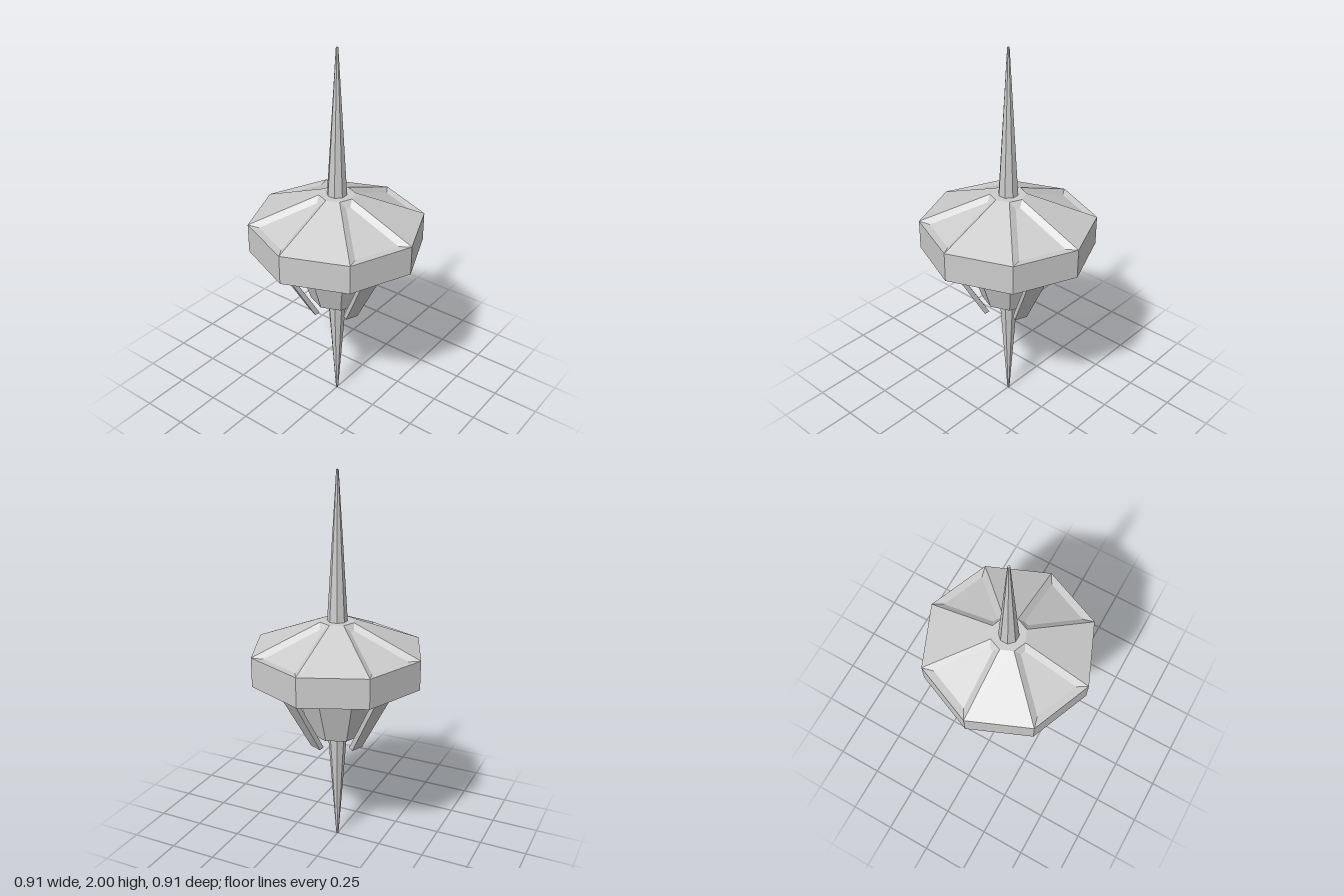
import * as THREE from 'three';

const SIDES = 8;
const STEP = (Math.PI * 2) / SIDES;
const material = new THREE.MeshStandardMaterial({ color: 0xcccccc, flatShading: true });

// Eight-sided tapered ring or solid between two heights
function frustum(name, rTop, yTop, rBottom, yBottom, open, turn = 0) {
  const g = new THREE.CylinderGeometry(rTop, rBottom, yTop - yBottom, SIDES, 1, open);
  g.rotateY(turn);
  g.translate(0, (yTop + yBottom) / 2, 0);
  const mesh = new THREE.Mesh(g, material);
  mesh.name = name;
  return mesh;
}

// Mesh from quads, each listed counter-clockwise
function quadMesh(name, quads) {
  const pos = [];
  for (const [a, b, c, d] of quads) pos.push(...a, ...b, ...c, ...a, ...c, ...d);
  const g = new THREE.BufferGeometry();
  g.setAttribute('position', new THREE.Float32BufferAttribute(pos, 3));
  g.computeVertexNormals();
  const mesh = new THREE.Mesh(g, material);
  mesh.name = name;
  return mesh;
}

// Trapezoid symmetric in x: outer edge then inner edge, z pointing outward
const trapezoid = (wOut, yOut, zOut, wIn, yIn, zIn) => [
  [-wOut, yOut, zOut], [wOut, yOut, zOut], [wIn, yIn, zIn], [-wIn, yIn, zIn],
];

// Quads joining two matching four-cornered loops
const bridge = (a, b) => a.map((p, i) => {
  const j = (i + 1) % 4;
  return [p, a[j], b[j], b[i]];
});

const RIM = 0.453, HUB = 0.092, RIM_TOP = 1.105, ROOF_TOP = 1.25;

function roofPanel(recessed) {
  const c = Math.cos(STEP / 2), s = Math.sin(STEP / 2);
  const edge = trapezoid(RIM * s, RIM_TOP, RIM * c, HUB * s, ROOF_TOP, HUB * c);
  if (!recessed) return quadMesh('roofPanel', [edge]);
  const floor = trapezoid(0.123, 1.1025, 0.38, 0.012, 1.22, 0.109);
  return quadMesh('recessedRoofPanel', [...bridge(edge, floor), floor]);
}

// Slanted plate, narrower toward its lower end
function fin() {
  const top = trapezoid(0.052, 0.922, 0.343, 0.052, 0.912, 0.312);
  const bottom = trapezoid(0.035, 0.583, 0.153, 0.035, 0.592, 0.128);
  return quadMesh('fin', [top, [...bottom].reverse(), ...bridge(bottom, top)]);
}

export function createModel() {
  const model = new THREE.Group();

  // Spires above and below
  model.add(
    frustum('upperSpire', 0.006, 2, 0.052, ROOF_TOP, false, STEP / 2),
    frustum('lowerSpire', 0.052, 0.635, 0.006, 0, false, STEP / 2),
  );

  // Body: rim band, underside and lower cone
  model.add(
    frustum('rimBand', RIM, RIM_TOP, RIM, 0.95, true),
    frustum('underside', RIM, 0.95, 0.22, 0.876, true),
    frustum('lowerCone', 0.22, 0.876, 0.14, 0.635, false),
  );

  // Flat hub around the upper spire
  const hub = new THREE.Mesh(new THREE.CircleGeometry(HUB, SIDES).rotateX(-Math.PI / 2), material);
  hub.name = 'roofHub';
  hub.position.y = ROOF_TOP;
  model.add(hub);

  // Roof panels, every second one sunken with a fin below it
  for (let i = 0; i < SIDES; i++) {
    const recessed = i % 2 === 1;
    const parts = recessed ? [roofPanel(true), fin()] : [roofPanel(false)];
    for (const part of parts) {
      part.rotation.y = (i + 0.5) * STEP;
      model.add(part);
    }
  }
  return model;
}
